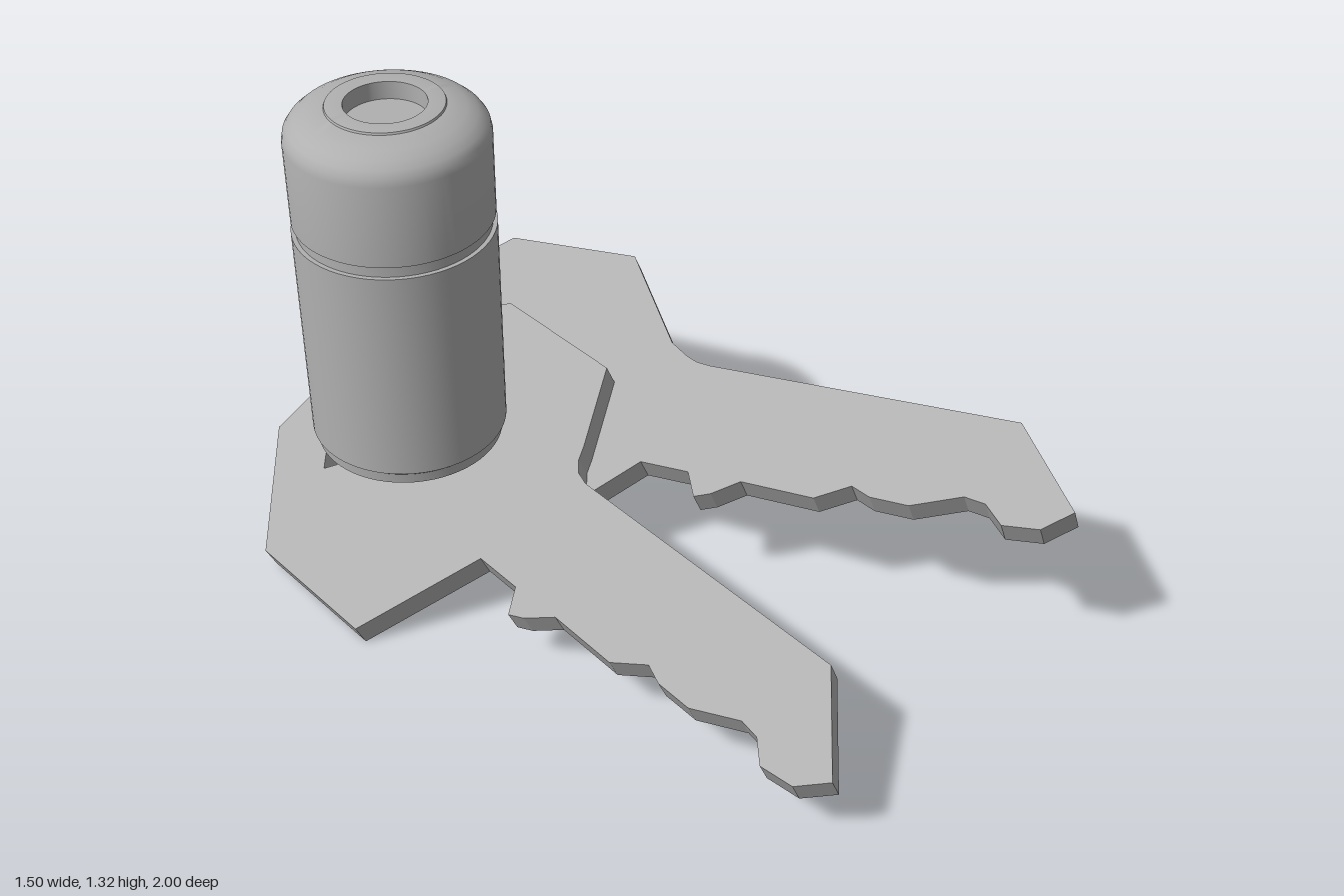
import * as THREE from 'three';
import { toCreasedNormals } from 'three/addons/utils/BufferGeometryUtils.js';

const rad = THREE.MathUtils.degToRad;
const KEY_THICKNESS = 0.068;

// Toothed edge of the blade, from the head to the tip and back to the straight edge
const BLADE = [
  [-0.418, 0.08], [-0.405, -0.053], [-0.464, -0.1], [-0.443, -0.138], [-0.387, -0.196],
  [-0.37, -0.391], [-0.309, -0.467], [-0.323, -0.521], [-0.314, -0.621], [-0.249, -0.737],
  [-0.251, -0.792], [-0.292, -0.849], [-0.273, -0.939], [-0.205, -0.997], [-0.016, -0.787],
];

// Slot near the far end of the head
const SLOT = [
  [-0.142, 0.662], [-0.188, 0.71], [-0.337, 0.727], [-0.502, 0.69],
  [-0.55, 0.635], [-0.48, 0.592], [-0.337, 0.575], [-0.203, 0.604],
];

const toPoints = (list, dy = 0) => list.map(([x, y]) => new THREE.Vector2(x, y + dy));

// Flat key: octagonal head, toothed blade, slot; headShift lengthens the neck
function makeKey(name, material, headShift, neck) {
  const head = [];
  for (let k = 0; k < 6; k++) {
    const a = rad(-16.3 + 45 * k);
    head.push([-0.323 + 0.5 * Math.cos(a), 0.411 + headShift + 0.5 * Math.sin(a)]);
  }
  const shape = new THREE.Shape(toPoints([...head, ...BLADE, ...neck]));
  shape.holes.push(new THREE.Path(toPoints(SLOT, headShift)));
  const geometry = new THREE.ExtrudeGeometry(shape, { depth: KEY_THICKNESS, bevelEnabled: false });
  geometry.translate(0, 0, -KEY_THICKNESS);
  const key = new THREE.Mesh(geometry, material);
  key.name = name;
  return key;
}

// Lays a key on the sloping plane y = height + 0.45x - 0.083z
function layOnSlope(key, name, height) {
  const normal = new THREE.Vector3(-0.45, 1, 0.083).normalize();
  const across = new THREE.Vector3(1, 0.45, 0).normalize();
  const along = normal.clone().cross(across);
  const slope = new THREE.Group();
  slope.name = name;
  slope.quaternion.setFromRotationMatrix(new THREE.Matrix4().makeBasis(across, along, normal));
  slope.position.y = height;
  slope.add(key);
  return slope;
}

function makeLock(material) {
  const lock = new THREE.Group();
  lock.name = 'cylinderLock';
  lock.position.set(-0.368, 0, -0.418);

  const turned = (name, profile) => {
    const lathe = new THREE.LatheGeometry(toPoints(profile), 64);
    const mesh = new THREE.Mesh(toCreasedNormals(lathe, rad(32)), material);
    mesh.name = name;
    lock.add(mesh);
  };

  // Lower barrel with stepped foot
  turned('barrel', [
    [0, 0.4], [0.232, 0.4], [0.234, 0.428], [0.243, 0.436], [0.243, 1.005], [0.232, 1.005],
  ]);
  // Groove and domed cap with a recessed keyway
  turned('cap', [
    [0.232, 1.005], [0.232, 1.036], [0.241, 1.036], [0.241, 1.245], [0.237, 1.265],
    [0.227, 1.28], [0.21, 1.295], [0.185, 1.308], [0.14, 1.32], [0.138, 1.325],
    [0.097, 1.325], [0.097, 1.28], [0, 1.28],
  ]);

  // Hexagonal drive pin underneath
  const pin = new THREE.Mesh(new THREE.CylinderGeometry(0.043, 0.043, 0.05, 6).toNonIndexed(), material);
  pin.geometry.computeVertexNormals();
  pin.geometry.rotateY(rad(22));
  pin.position.y = 0.382;
  pin.name = 'drivePin';
  lock.add(pin);
  return lock;
}

export function createModel() {
  const steel = new THREE.MeshStandardMaterial({ color: 0xb0b0b0 });
  steel.name = 'steel grey';

  const model = new THREE.Group();
  model.name = 'lockWithKeys';
  model.add(makeLock(steel));

  const upper = makeKey('upperKey', steel, 0, [[-0.101, 0.04], [-0.093, 0.08], [-0.069, 0.109], [-0.034, 0.131]]);
  model.add(layOnSlope(upper, 'upperKeySlope', 0.365));

  // Second key lies under the first, swung round in the same slope
  const lower = makeKey('lowerKey', steel, 0.14, [[-0.101, 0.04], [-0.101, 0.08], [-0.092, 0.114], [-0.066, 0.173]]);
  lower.rotation.z = rad(22);
  lower.position.set(0.496, 0.114, 0);
  model.add(layOnSlope(lower, 'lowerKeySlope', 0.29));

  return model;
}
